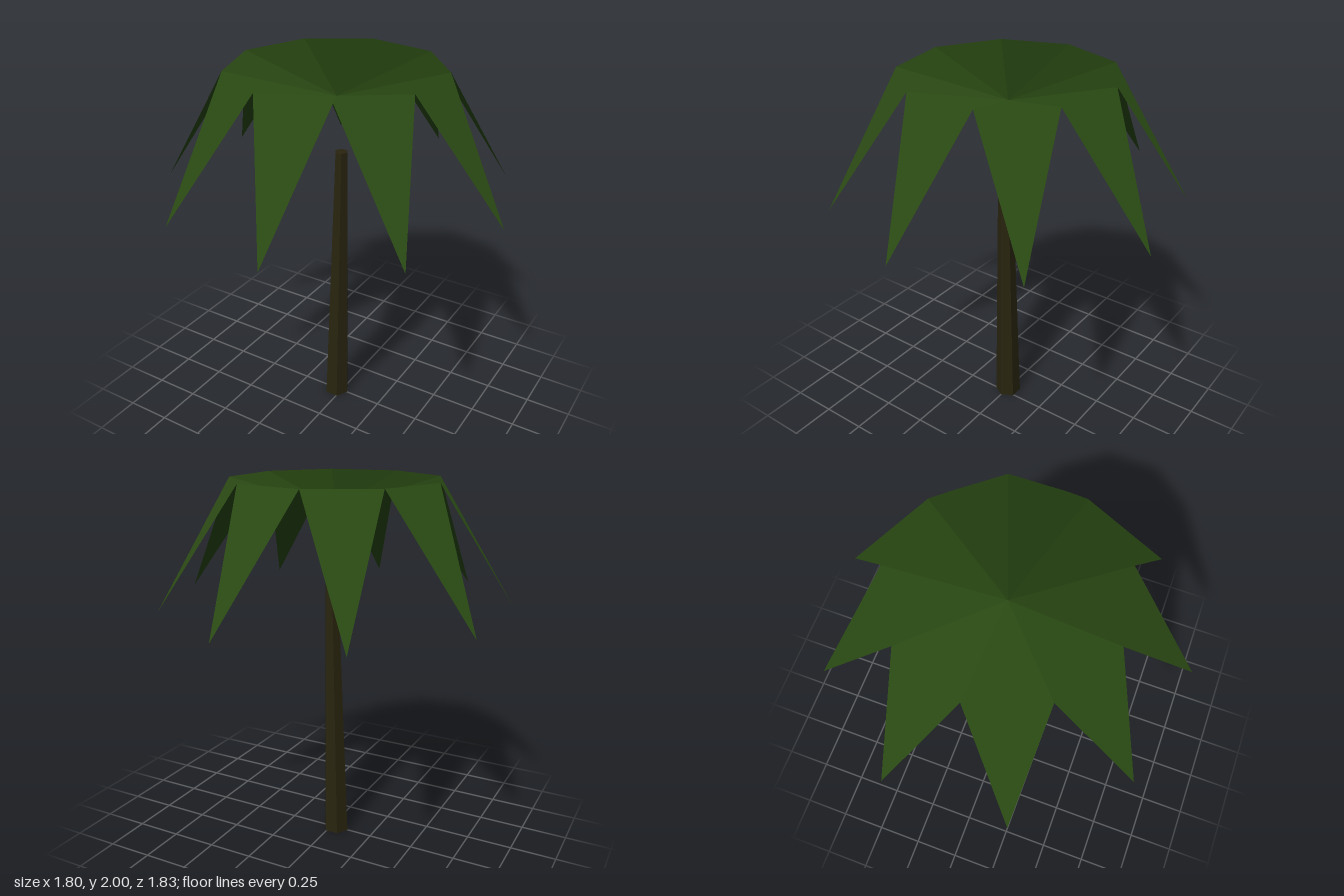
import * as THREE from 'three';

const leafGreen = new THREE.MeshStandardMaterial({ color: 0x284712, side: THREE.DoubleSide });
leafGreen.name = 'leaf green';
const barkBrown = new THREE.MeshStandardMaterial({ color: 0x29240f, flatShading: true });
barkBrown.name = 'bark brown';

const FRONDS = 9;
const CROWN_X = -0.028;

// One kite-shaped frond pointing along +x: hub, two shoulders and a drooping tip
function frondGeometry() {
  const half = Math.PI / FRONDS;
  const sx = 0.555 * Math.cos(half), sz = 0.555 * Math.sin(half);
  const geo = new THREE.BufferGeometry();
  geo.setAttribute('position', new THREE.Float32BufferAttribute([
    0, 1.85, 0,
    sx, 2, sz,
    0.93, 1.35, 0,
    sx, 2, -sz,
  ], 3));
  geo.setIndex([0, 1, 3, 1, 2, 3]);
  // the folded kite is shaded as a single facet
  const n = new THREE.Vector3(0.5, 0.93, 0).normalize();
  geo.setAttribute('normal', new THREE.Float32BufferAttribute(
    Array.from({ length: 4 }, () => n.toArray()).flat(), 3));
  return geo;
}

export function createModel() {
  const model = new THREE.Group();
  model.name = 'palmTree';

  // Six-sided tapering trunk, leaning slightly towards +x
  const height = 1.56;
  const trunkGeo = new THREE.CylinderGeometry(0.035, 0.0725, height, 6);
  trunkGeo.rotateY(Math.PI / 6).translate(0, height / 2, 0);
  const pos = trunkGeo.attributes.position;
  for (let i = 0; i < pos.count; i++) {
    pos.setX(i, pos.getX(i) - 0.0325 * (1 - pos.getY(i) / height));
  }
  trunkGeo.computeVertexNormals();
  const trunk = new THREE.Mesh(trunkGeo, barkBrown);
  trunk.name = 'trunk';
  model.add(trunk);

  // Ring of fronds around a sunken hub
  const crown = new THREE.Group();
  crown.name = 'crown';
  crown.position.x = CROWN_X;
  const geo = frondGeometry();
  for (let i = 0; i < FRONDS; i++) {
    const frond = new THREE.Mesh(geo, leafGreen);
    frond.name = `frond${i + 1}`;
    frond.rotation.y = (i * 2 * Math.PI) / FRONDS;
    crown.add(frond);
  }
  model.add(crown);

  return model;
}
